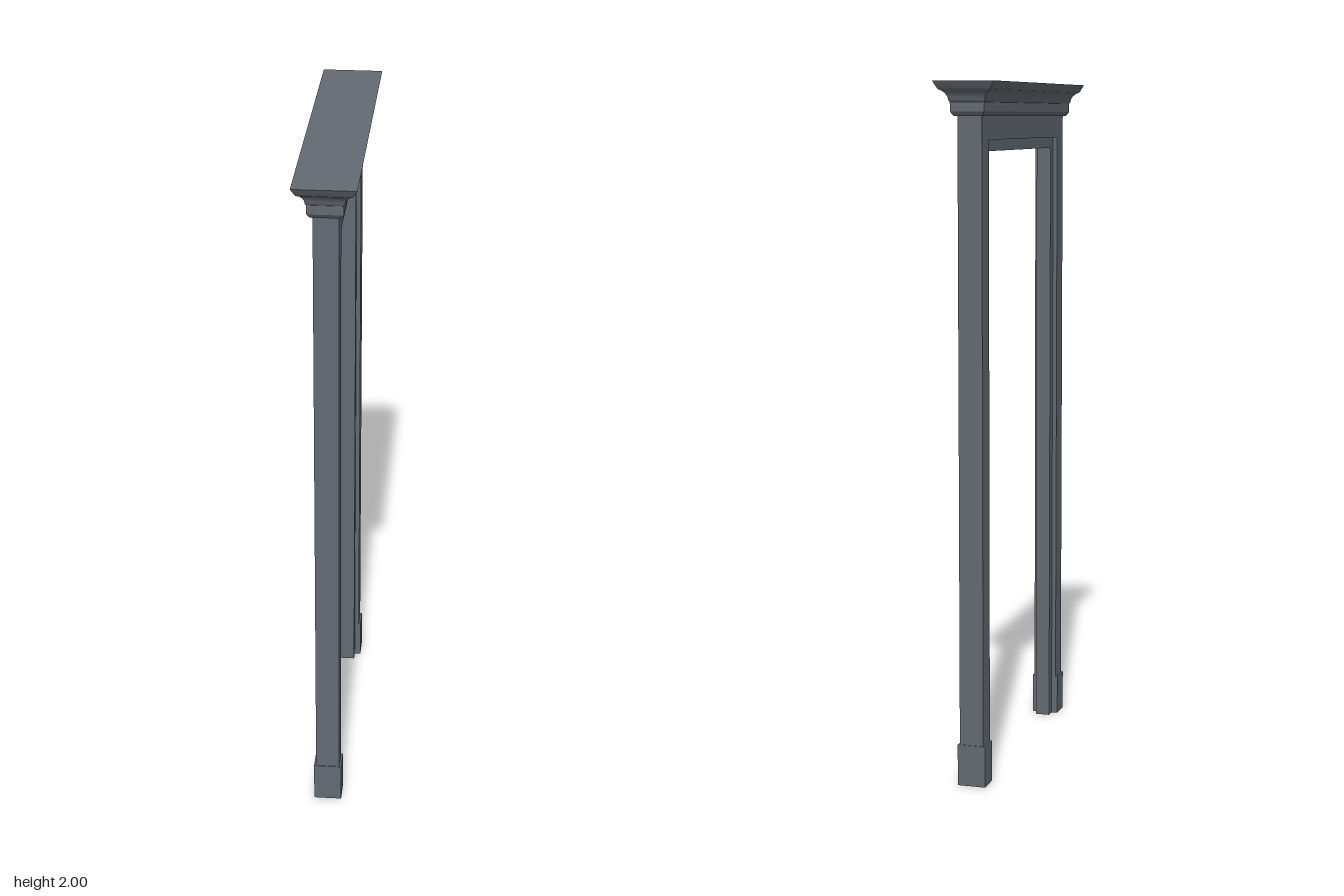
import * as THREE from 'three';
import { toCreasedNormals } from 'three/addons/utils/BufferGeometryUtils.js';

const material = new THREE.MeshStandardMaterial({ color: 0x636a72 });

function add(group, name, geometry) {
  const mesh = new THREE.Mesh(geometry, material);
  mesh.name = name;
  group.add(mesh);
  return mesh;
}

// Upside-down U: two legs and a head, extruded along x.
function archFrame(outerZ, outerTop, innerZ, innerTop, halfDepth) {
  const shape = new THREE.Shape([
    [-outerZ, 0], [-innerZ, 0], [-innerZ, innerTop], [innerZ, innerTop],
    [innerZ, 0], [outerZ, 0], [outerZ, outerTop], [-outerZ, outerTop],
  ].map(([a, b]) => new THREE.Vector2(a, b)));
  const geometry = new THREE.ExtrudeGeometry(shape, { depth: halfDepth * 2, bevelEnabled: false });
  return geometry.translate(0, 0, -halfDepth).rotateY(Math.PI / 2);
}

// Moulding profile swept around a rectangle with mitred corners.
function mitredMoulding(profile, extraZ) {
  const points = profile.map(([r, y]) => new THREE.Vector2(r, y));
  const geometry = new THREE.LatheGeometry(points, 4, Math.PI / 4);
  const signs = [[1, 1], [1, -1], [-1, -1], [-1, 1], [1, 1]];
  const position = geometry.attributes.position;
  for (let i = 0; i < position.count; i++) {
    const [r, y] = profile[i % profile.length];
    const [sx, sz] = signs[Math.floor(i / profile.length)];
    position.setXYZ(i, sx * r, y, sz * (r + extraZ));
  }
  return toCreasedNormals(geometry, 0.5);
}

export function createModel() {
  const group = new THREE.Group();
  group.name = 'doorFrame';

  // Casing and the thinner jamb lining inside it
  add(group, 'casing', archFrame(0.422, 1.915, 0.357, 1.84, 0.035));
  add(group, 'jamb', archFrame(0.357, 1.84, 0.327, 1.808, 0.022));

  // Plinth blocks at the foot of each leg
  for (const side of [1, -1]) {
    const plinth = add(group, side > 0 ? 'frontPlinth' : 'backPlinth',
      new THREE.BoxGeometry(0.082, 0.12, 0.067));
    plinth.position.set(0, 0.06, side * 0.3905);
  }

  // Crown: bottom fillet, flat band, cove and top lip
  add(group, 'cornice', mitredMoulding([
    [0, 1.905], [0.041, 1.905], [0.049, 1.917], [0.049, 1.943], [0.052, 1.947],
    [0.054, 1.957], [0.059, 1.966], [0.066, 1.973], [0.074, 1.977],
    [0.077, 1.981], [0.087, 2], [0, 2],
  ], 0.397));

  return group;
}
